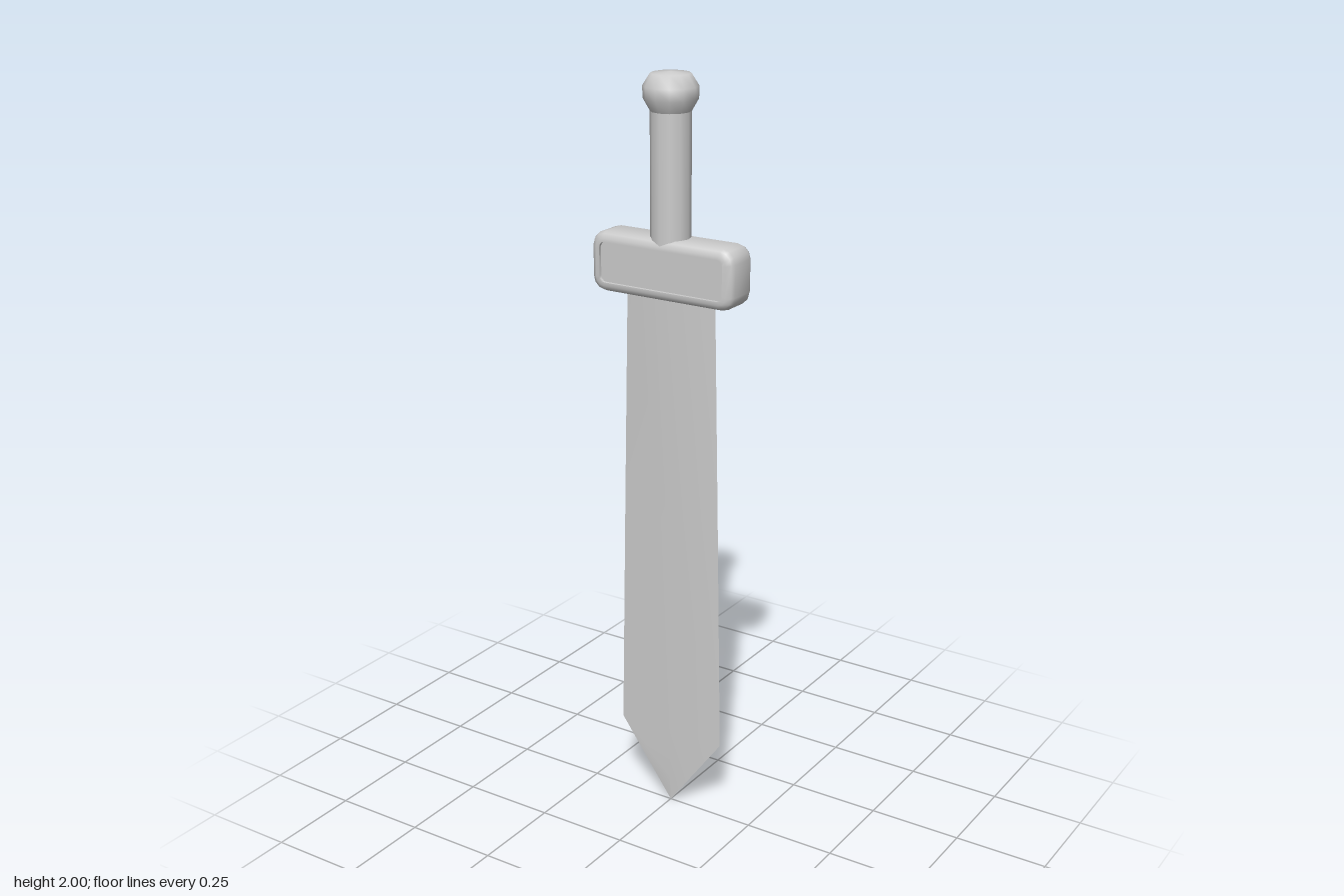
import * as THREE from 'three';
import { toCreasedNormals } from 'three/addons/utils/BufferGeometryUtils.js';

const material = new THREE.MeshStandardMaterial({ color: 0xcccccc });

function part(name, geometry) {
  const mesh = new THREE.Mesh(geometry, material);
  mesh.name = name;
  return mesh;
}

// Counter-clockwise rounded rectangle in the xy plane at depth z
function roundedRing(hx, hy, r, z, steps = 3) {
  const ring = [];
  const corners = [[1, 1], [-1, 1], [-1, -1], [1, -1]];
  corners.forEach(([sx, sy], q) => {
    for (let i = 0; i <= steps; i++) {
      const a = (q + i / steps) * Math.PI / 2;
      ring.push([sx * (hx - r) + r * Math.cos(a), sy * (hy - r) + r * Math.sin(a), z]);
    }
  });
  return ring;
}

// Skin between successive rings, from the front centre round to the back centre
function loft(rings, crease) {
  const pos = [], n = rings[0].length;
  for (let i = 0; i < rings.length - 1; i++) {
    for (let j = 0; j < n; j++) {
      const k = (j + 1) % n;
      const a = rings[i][j], b = rings[i + 1][j], c = rings[i + 1][k], d = rings[i][k];
      if (i < rings.length - 2) pos.push(...a, ...b, ...c);
      if (i > 0) pos.push(...a, ...(i < rings.length - 2 ? c : b), ...d);
    }
  }
  const g = new THREE.BufferGeometry();
  g.setAttribute('position', new THREE.Float32BufferAttribute(pos, 3));
  return toCreasedNormals(g, crease);
}

// Crossguard with soft edges and a recessed panel on each face
function guardGeometry() {
  const front = [
    [0, 0, 0, 0.044],
    [0.18, 0.052, 0.015, 0.044],
    [0.18, 0.052, 0.015, 0.052],
    [0.19, 0.061, 0.022, 0.052],
    [0.202, 0.072, 0.032, 0.045],
    [0.207, 0.077, 0.036, 0.034],
  ];
  const back = front.slice().reverse().map(([x, y, r, z]) => [x, y, r, -z]);
  return loft([...front, ...back].map((s) => roundedRing(...s)), 0.9);
}

// One face of the blade: smooth across a raised centre ridge
function bladeFace(side) {
  // half width, edge height, ridge height, ridge depth
  const rows = [
    [0.13, 1.47, 1.47, 0.018],
    [0.144, 0.84, 0.84, 0.011],
    [0.157, 0.215, 0.215, 0.006],
    [0.055, 0.075, 0.075, 0.005],
    [0, 0, 0, 0],
  ];
  const pos = [], index = [];
  rows.forEach(([w, ye, yr, z], i) => {
    pos.push(-w * side, ye, 0, 0, yr, z * side, w * side, ye, 0);
    if (i === rows.length - 1) return;
    for (let c = 0; c < 2; c++) {
      const a = i * 3 + c, b = a + 3;
      index.push(a, b, b + 1, a, b + 1, a + 1);
    }
  });
  const g = new THREE.BufferGeometry();
  g.setAttribute('position', new THREE.Float32BufferAttribute(pos, 3));
  g.setIndex(index);
  g.computeVertexNormals();
  return g;
}

export function createModel() {
  const sword = new THREE.Group();
  sword.name = 'sword';

  // Blade, point down
  const blade = new THREE.Group();
  blade.name = 'blade';
  blade.add(part('bladeFront', bladeFace(1)), part('bladeBack', bladeFace(-1)));

  const guard = part('guard', guardGeometry());
  guard.position.y = 1.518;

  // Grip and pommel
  const grip = part('grip', new THREE.CylinderGeometry(0.051, 0.051, 0.34, 12, 1, true));
  grip.position.y = 1.745;
  const profile = [[0.051, 1.905], [0.068, 1.935], [0.069, 1.965], [0.05, 1.995], [0, 2]];
  const pommel = part('pommel', new THREE.LatheGeometry(
    profile.map(([r, y]) => new THREE.Vector2(r, y)), 12));

  sword.add(blade, guard, grip, pommel);
  return sword;
}
